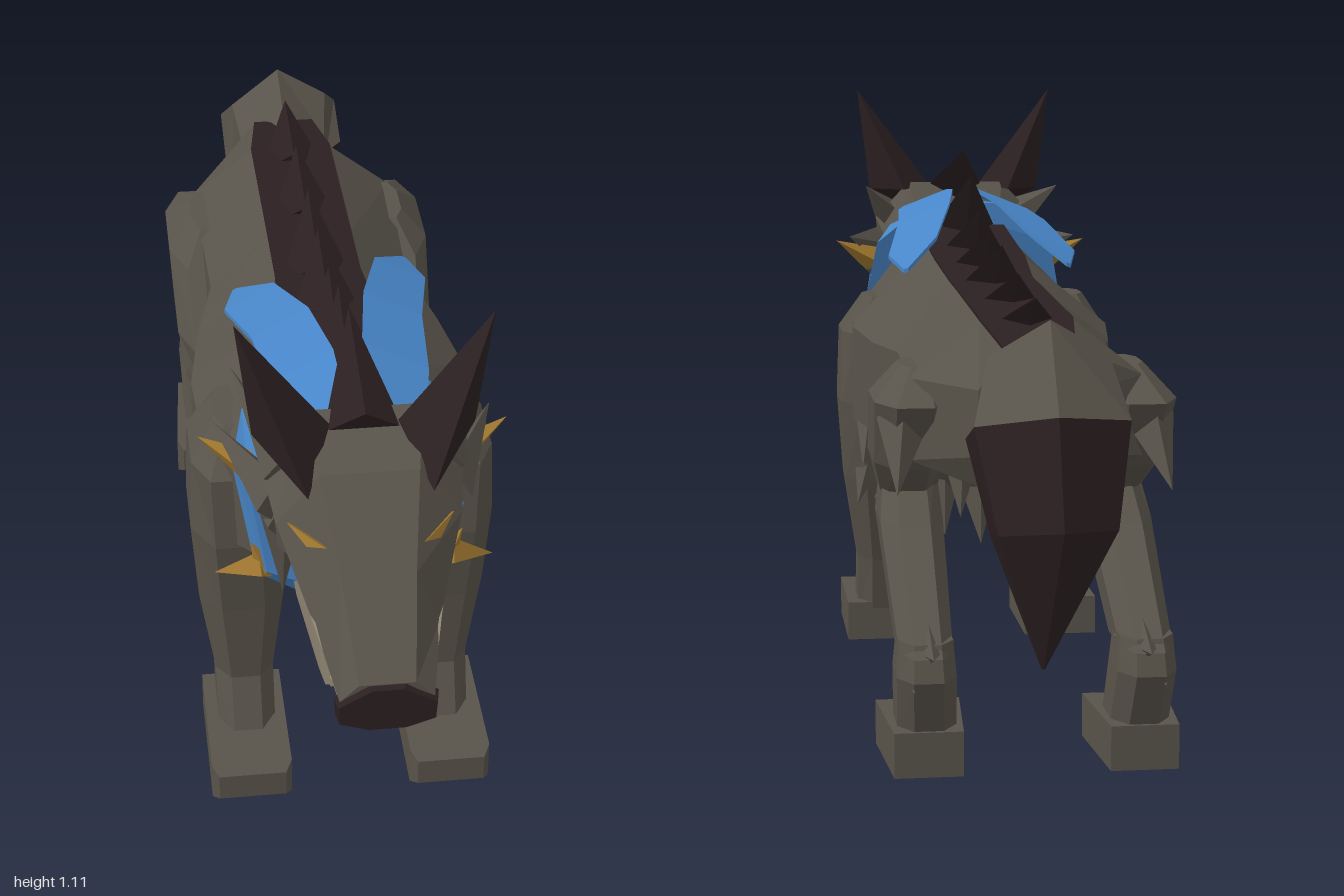
import * as THREE from 'three';

const mat = (name, color) => Object.assign(new THREE.MeshStandardMaterial({ color }), { name });
const V = (p) => new THREE.Vector3(...p);

// Flat-faced solid through equal-sized rings of points, capped at both ends, faces turned outward
function loft(rings) {
  const n = rings[0].length, tris = [];
  const R = rings.map((r) => r.map(V));
  const add = (a, b, c) => {
    if (b.clone().sub(a).cross(c.clone().sub(a)).length() > 1e-7) tris.push([a, b, c]);
  };
  for (let i = 0; i < R.length - 1; i++) {
    for (let j = 0; j < n; j++) {
      const k = (j + 1) % n;
      add(R[i][j], R[i][k], R[i + 1][k]);
      add(R[i][j], R[i + 1][k], R[i + 1][j]);
    }
  }
  const end = R[R.length - 1];
  for (let j = 1; j < n - 1; j++) {
    add(R[0][0], R[0][j + 1], R[0][j]);
    add(end[0], end[j], end[j + 1]);
  }
  let volume = 0;
  const o = R[0][0];
  for (const [a, b, c] of tris) volume += a.clone().sub(o).dot(b.clone().sub(o).cross(c.clone().sub(o)));
  const points = tris.flatMap((t) => (volume < 0 ? [t[0], t[2], t[1]] : t));
  const geo = new THREE.BufferGeometry().setFromPoints(points);
  geo.computeVertexNormals();
  return geo;
}

// Four-sided spike from base to tip; w and t are its half widths
function spikeGeo(base, tip, w, t = w) {
  const a = V(base), d = V(tip).sub(a), len = d.length();
  const y = d.normalize();
  const x = Math.abs(y.x) > 0.75 ? new THREE.Vector3(0, 0, 1) : new THREE.Vector3(1, 0, 0);
  x.addScaledVector(y, -x.dot(y)).normalize();
  const z = x.clone().cross(y);
  const geo = new THREE.ConeGeometry(1, 1, 4).toNonIndexed();
  geo.translate(0, 0.5, 0).scale(w, len, t);
  geo.applyMatrix4(new THREE.Matrix4().makeBasis(x, y, z).setPosition(a));
  geo.computeVertexNormals();
  return geo;
}

// Symmetric ring from right-half points, listed top to bottom
const ring = (half, z) => {
  const h = half.map(([x, y, pz]) => [x, y, pz ?? z]);
  return [...h, ...h.map(([x, y, pz]) => [-x, y, pz]).reverse()];
};
// Same rings on the left (s = 1) or right (s = -1)
const side = (rings, s) => rings.map((r) => r.map(([x, y, z]) => [s * x, y, z]));
// Horizontal ring with cut corners, for limbs
const limbRing = ([x, y, z, w, d]) => [
  [w, d / 2], [w / 2, d], [-w / 2, d], [-w, d / 2], [-w, -d / 2], [-w / 2, -d], [w / 2, -d], [w, -d / 2],
].map(([a, b]) => [x + a, y, z + b]);

export function createModel() {
  const model = new THREE.Group();
  const fur = mat('grey fur', 0x58534a), dark = mat('dark fur', 0x2b1f21);
  const pale = mat('pale muzzle', 0x8f8573), blue = mat('blue cloth', 0x4886c8);
  const gold = mat('gold', 0xa07730), ivory = mat('ivory', 0xb5aa92);
  const put = (name, geo, m) => {
    const mesh = new THREE.Mesh(geo, m);
    mesh.name = name;
    model.add(mesh);
  };
  const both = (name, m, make) => [1, -1].forEach((s) => put((s > 0 ? 'left ' : 'right ') + name, make(s), m));
  const spikes = (name, m, list) => list.forEach(([b, t, w, d]) =>
    both(name, m, (s) => spikeGeo([s * b[0], b[1], b[2]], [s * t[0], t[1], t[2]], w, d)));

  // Trunk: z, top y, top half width, upper side y, half width, lower side y, bottom y, bottom half width
  const trunk = [
    [0.62, 0.84, 0.07, 0.74, 0.12, 0.6, 0.53, 0.05],
    [0.5, 0.84, 0.08, 0.69, 0.17, 0.52, 0.43, 0.07],
    [0.37, 0.81, 0.09, 0.66, 0.24, 0.48, 0.38, 0.09],
    [0.18, 0.79, 0.09, 0.66, 0.25, 0.48, 0.35, 0.08],
    [0, 0.765, 0.08, 0.65, 0.225, 0.48, 0.37, 0.08],
    [-0.15, 0.76, 0.08, 0.65, 0.19, 0.49, 0.44, 0.08],
    [-0.5, 0.745, 0.08, 0.65, 0.2, 0.51, 0.46, 0.08],
    [-0.66, 0.715, 0.06, 0.65, 0.1, 0.54, 0.47, 0.05],
  ];
  put('body', loft(trunk.map(([z, t, tw, u, w, l, b, bw]) => ring([[tw, t], [w, u], [w, l], [bw, b]], z))), fur);
  put('backStripe', loft(trunk.map(([z, t, tw]) => ring([[tw, t + 0.005], [tw, t - 0.004]], z))), dark);

  // Row of spines along the back: base z, base y, tip z, tip y
  [[0.67, 0.895, 0.46, 0.99], [0.47, 0.83, 0.32, 0.945], [0.32, 0.79, 0.17, 0.885], [0.16, 0.77, 0, 0.86],
    [0, 0.75, -0.17, 0.845], [-0.23, 0.735, -0.39, 0.815], [-0.45, 0.725, -0.61, 0.795]].forEach(([z, y, tz, ty]) =>
    put('backSpine', spikeGeo([0, y, z], [0, ty, tz], 0.065, 0.05), dark));

  // Head
  put('head', loft([
    ring([[0.045, 0.64], [0.075, 0.61], [0.06, 0.58]], 0.99),
    ring([[0.06, 0.76], [0.1, 0.66], [0.075, 0.63]], 0.87),
    ring([[0.08, 0.87], [0.15, 0.78], [0.12, 0.7]], 0.75),
    ring([[0.1, 0.915], [0.17, 0.84], [0.15, 0.66]], 0.635),
    ring([[0.08, 0.81], [0.14, 0.77], [0.12, 0.64]], 0.53),
  ]), fur);
  put('muzzle', loft([
    ring([[0.074, 0.605], [0.065, 0.56]], 0.98),
    ring([[0.102, 0.665], [0.08, 0.585]], 0.87),
    ring([[0.14, 0.755], [0.11, 0.65]], 0.74),
    ring([[0.15, 0.76], [0.12, 0.67]], 0.66),
  ]), pale);
  put('palate', loft([
    ring([[0.062, 0.562], [0.06, 0.553]], 0.985),
    ring([[0.076, 0.588], [0.074, 0.578]], 0.87),
    ring([[0.105, 0.653], [0.1, 0.643]], 0.74),
    ring([[0.115, 0.673], [0.11, 0.663]], 0.66),
  ]), dark);
  put('nose', loft([
    ring([[0.025, 0.636], [0.078, 0.605], [0.076, 0.572], [0.03, 0.556]], 1),
    ring([[0.035, 0.642], [0.083, 0.608], [0.08, 0.57], [0.04, 0.553]], 0.975),
  ]), dark);
  put('lowerJaw', loft([
    ring([[0.06, 0.415, 0.74], [0.065, 0.395, 0.675]]),
    ring([[0.07, 0.535, 0.71], [0.08, 0.51, 0.63]]),
  ]), pale);
  both('jawSide', pale, (s) => loft(side([
    [[0.055, 0.415, 0.735], [0.068, 0.415, 0.735], [0.072, 0.395, 0.67], [0.055, 0.395, 0.67]],
    [[0.068, 0.54, 0.705], [0.09, 0.54, 0.7], [0.105, 0.52, 0.62], [0.07, 0.51, 0.62]],
    [[0.09, 0.68, 0.68], [0.115, 0.68, 0.67], [0.125, 0.66, 0.6], [0.09, 0.66, 0.6]],
  ], s)));
  both('ear', dark, (s) => loft(side([
    [[0.055, 0.91, 0.67], [0.1, 0.84, 0.77], [0.18, 0.9, 0.67], [0.11, 0.9, 0.61]],
    Array(4).fill([0.205, 1.11, 0.67]),
  ], s)));
  both('eye', gold, (s) => loft(side([-0.003, 0.004].map((d) =>
    [[0.075, 0.783, 0.825], [0.13, 0.79, 0.762], [0.103, 0.771, 0.803]].map(([x, y, z]) => [x + d, y + d, z + d])), s)));
  spikes('upperFang', ivory, [[[0.055, 0.6, 0.89], [0.055, 0.51, 0.845], 0.014, 0.02]]);
  spikes('lowerFang', ivory, [[[0.05, 0.43, 0.72], [0.055, 0.455, 0.81], 0.012, 0.014]]);
  spikes('cheekTuft', fur, [
    [[0.13, 0.83, 0.68], [0.2, 0.915, 0.5], 0.035, 0.05],
    [[0.14, 0.77, 0.68], [0.235, 0.81, 0.5], 0.04, 0.055],
    [[0.13, 0.72, 0.67], [0.2, 0.74, 0.52], 0.03, 0.045],
    [[0.13, 0.74, 0.66], [0.13, 0.55, 0.645], 0.04, 0.035],
  ]);

  // Scarf with hanging point, two trailing ends and gold studs
  put('scarfBand', loft([
    ring([[0.06, 0.875, 0.6], [0.14, 0.83, 0.6], [0.18, 0.74, 0.63], [0.155, 0.59, 0.64], [0.04, 0.535, 0.64]]),
    ring([[0.08, 0.88, 0.46], [0.18, 0.8, 0.46], [0.2, 0.7, 0.48], [0.165, 0.5, 0.53], [0.05, 0.44, 0.55]]),
  ]), blue);
  put('scarfPoint', loft([0.006, -0.006].map((x) => [[x, 0.54, 0.64], [x, 0.3, 0.51], [x, 0.5, 0.51]])), blue);
  both('scarfTail', blue, (s) => loft(side([
    [0.065, 0.88, 0.61, 0.045], [0.08, 0.885, 0.46, 0.055], [0.1, 0.87, 0.28, 0.05], [0.14, 0.82, 0.09, 0.045], [0.16, 0.785, 0, 0.004],
  ].map(([x, y, z, w]) => {
    const pz = s > 0 ? z : z * 0.87 + 0.075;
    return [[-w, 0.004], [w, 0.004], [w, -0.004], [-w, -0.004]].map(([a, b]) => [x + a, y + b - a * 0.4, pz + a * 0.25]);
  }), s)));
  spikes('scarfStud', gold, [
    [[0.175, 0.755, 0.56], [0.26, 0.8, 0.53], 0.03],
    [[0.155, 0.575, 0.6], [0.24, 0.54, 0.57], 0.03],
    [[0.155, 0.57, 0.6], [0.18, 0.625, 0.6], 0.02],
  ]);

  // Front legs and hind legs: x, y, z, half width, half depth
  const limbs = {
    frontLeg: [[0.19, 0.71, 0.32, 0.03, 0.06], [0.205, 0.64, 0.33, 0.06, 0.12], [0.19, 0.5, 0.33, 0.08, 0.13],
      [0.182, 0.34, 0.34, 0.077, 0.1], [0.18, 0.17, 0.36, 0.053, 0.07], [0.18, 0.05, 0.4, 0.052, 0.085]],
    thigh: [[0.18, 0.665, -0.41, 0.03, 0.07], [0.195, 0.61, -0.43, 0.063, 0.15], [0.192, 0.49, -0.32, 0.06, 0.16],
      [0.18, 0.39, -0.22, 0.045, 0.07]],
    shank: [[0.18, 0.48, -0.23, 0.045, 0.08], [0.185, 0.38, -0.31, 0.055, 0.13], [0.185, 0.21, -0.58, 0.045, 0.11]],
    hock: [[0.185, 0.23, -0.6, 0.045, 0.07], [0.185, 0.17, -0.6, 0.05, 0.09], [0.18, 0.05, -0.55, 0.05, 0.08]],
  };
  for (const [name, rows] of Object.entries(limbs)) both(name, fur, (s) => loft(side(rows.map(limbRing), s)));
  const paw = (z, depth, heel) => (s) => loft(side([[-depth, heel, 0], [depth - 0.02, 0, 0], [depth, 0.012, 0.012]].map(([d, c, e]) =>
    [[0.109 + c, e], [0.255 - c, e], [0.255 - c, 0.077 - e], [0.109 + c, 0.077 - e]].map(([x, y]) => [x, y, z + d])), s));
  both('frontPaw', fur, paw(0.445, 0.133, 0));
  both('hindPaw', fur, paw(-0.533, 0.118, 0.015));

  // Ragged fur on belly, shoulders and legs
  put('chestTuft', spikeGeo([0, 0.42, 0.25], [0, 0.225, 0.16], 0.065, 0.09), fur);
  spikes('bellyTuft', fur, [
    [[0.09, 0.43, 0.06], [0.09, 0.28, -0.02], 0.05, 0.09], [[0.07, 0.5, -0.12], [0.08, 0.35, -0.2], 0.05, 0.08],
  ]);
  spikes('shoulderTuft', fur, [
    [[0.21, 0.53, 0.2], [0.24, 0.4, 0.06], 0.04, 0.06], [[0.2, 0.62, 0.42], [0.265, 0.61, 0.3], 0.04, 0.05],
  ]);
  spikes('legTuft', fur, [
    [[0.2, 0.42, 0.29], [0.24, 0.3, 0.22], 0.045, 0.06], [[0.18, 0.38, 0.3], [0.18, 0.24, 0.2], 0.05, 0.06],
    [[0.19, 0.48, -0.2], [0.21, 0.35, -0.13], 0.04, 0.06], [[0.21, 0.58, -0.5], [0.23, 0.47, -0.62], 0.045, 0.06],
    [[0.18, 0.22, -0.6], [0.18, 0.215, -0.715], 0.045], [[0.2, 0.18, -0.6], [0.21, 0.155, -0.69], 0.035],
  ]);

  // Bushy tail, curving down to a dark tip: centre x, y, z, half width, half height, tilt
  const tailRing = ([x, y, z, w, h, a]) => Array.from({ length: 6 }, (_, i) => {
    const t = (i + 0.5) * Math.PI / 3, v = h * Math.sin(t), u = w * Math.cos(t);
    return [x + u, y + v * Math.cos(a), z - v * Math.sin(a) - u * 0.15];
  });
  const tail = [[0, 0.595, -0.58, 0.09, 0.14, 0], [0, 0.615, -0.65, 0.1, 0.125, 0.05],
    [0, 0.66, -0.735, 0.115, 0.125, 0.35], [0.01, 0.61, -0.825, 0.145, 0.125, 1.27]];
  put('tail', loft(tail.map(tailRing)), fur);
  put('tailTip', loft([tail[3], [0.01, 0.46, -0.893, 0.11, 0.113, 1.4], [0.03, 0.25, -0.92, 0.003, 0.003, 1.3]].map(tailRing)), dark);
  return model;
}
